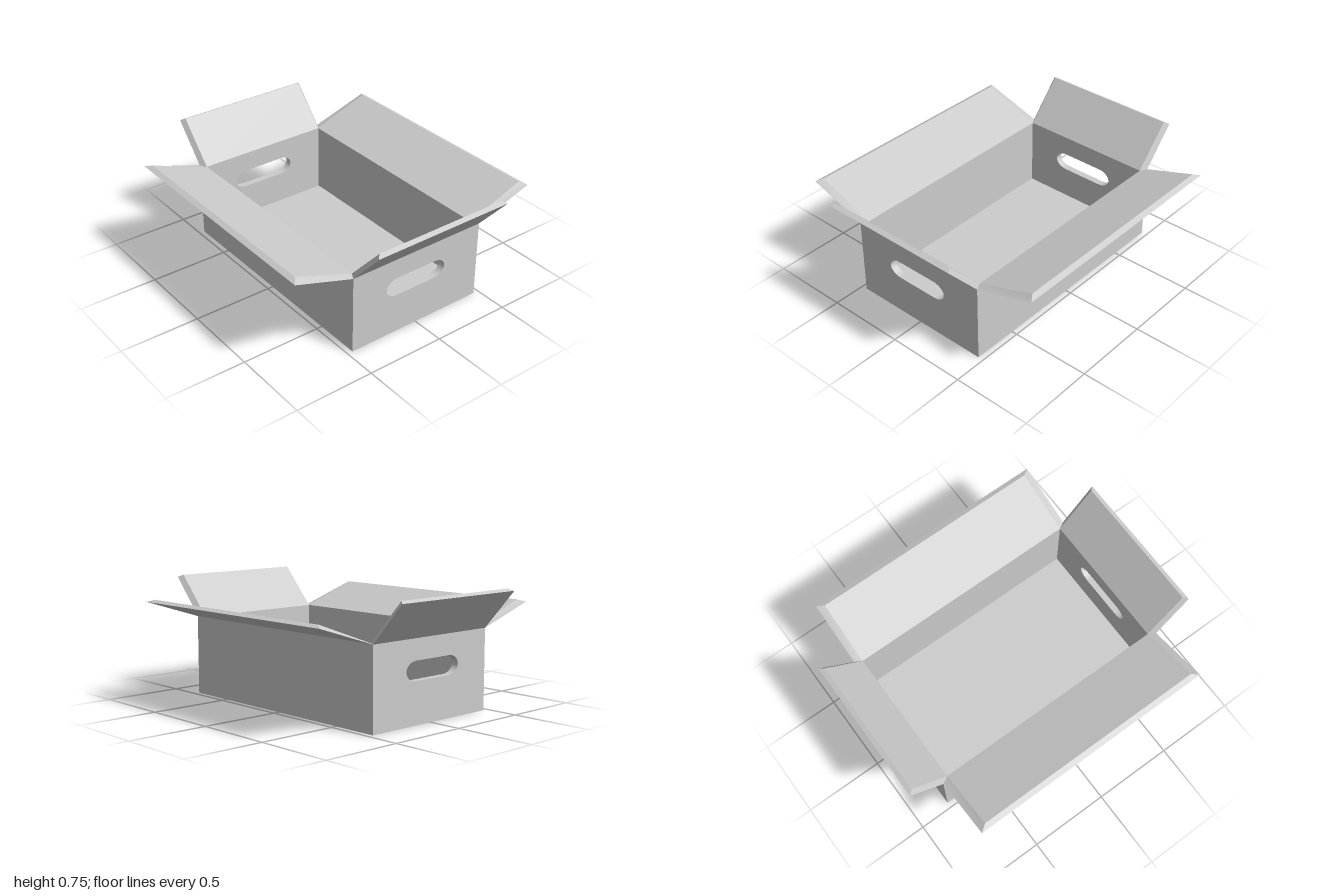
import * as THREE from 'three';

// Outer and inner half sizes of the carton, wall height and floor thickness
const OX = 0.79, IX = 0.745, OZ = 0.465, IZ = 0.44, H = 0.497, FLOOR = 0.05;

// Flap: a slab with mitred edges. Points are [distance outward, height].
function flapGeometry(outerHalf, innerHalf, hingeOut, tipOut, hingeIn, tipIn) {
  const geo = new THREE.BoxGeometry(2, 2, 2);
  const p = geo.attributes.position;
  for (let i = 0; i < p.count; i++) {
    const outer = p.getZ(i) > 0, tip = p.getY(i) > 0;
    const [d, y] = outer ? (tip ? tipOut : hingeOut) : (tip ? tipIn : hingeIn);
    p.setXYZ(i, p.getX(i) * (outer ? outerHalf : innerHalf), y, d);
  }
  geo.computeVertexNormals();
  return geo;
}

// End wall with a rounded grip hole, extruded through the wall thickness
function endWallGeometry() {
  const wall = new THREE.Shape();
  wall.moveTo(-OZ, 0).lineTo(OZ, 0).lineTo(OZ, H).lineTo(-OZ, H).closePath();
  const hole = new THREE.Path();
  const cz = 0.01, cy = 0.312, half = 0.135, rz = 0.08, ry = 0.058;
  hole.absellipse(cz + half, cy, rz, ry, -Math.PI / 2, Math.PI / 2, false, 0);
  hole.absellipse(cz - half, cy, rz, ry, Math.PI / 2, Math.PI * 1.5, false, 0);
  hole.closePath();
  wall.holes.push(hole);
  const geo = new THREE.ExtrudeGeometry(wall, { depth: OX - IX, bevelEnabled: false, curveSegments: 16 });
  return geo.rotateY(-Math.PI / 2);
}

export function createModel() {
  const model = new THREE.Group();
  model.name = 'openCarton';
  const cardboard = new THREE.MeshStandardMaterial({ color: 0xcccccc });
  cardboard.name = 'cardboardGrey';

  const add = (name, geo, x = 0, y = 0, z = 0, turn = 0) => {
    const mesh = new THREE.Mesh(geo, cardboard);
    mesh.name = name;
    mesh.position.set(x, y, z);
    mesh.rotation.y = turn;
    model.add(mesh);
  };

  // Floor and long walls
  add('floor', new THREE.BoxGeometry(IX * 2, FLOOR, IZ * 2), 0, FLOOR / 2, 0);
  const longWall = new THREE.BoxGeometry(IX * 2, H, OZ - IZ);
  add('frontWall', longWall, 0, H / 2, (OZ + IZ) / 2);
  add('backWall', longWall, 0, H / 2, -(OZ + IZ) / 2);

  // End walls with grip holes
  const endWall = endWallGeometry();
  add('leftWall', endWall, OX);
  add('rightWall', endWall, -IX);

  // Long flaps lean far out, end flaps stand steeper
  const longFlap = flapGeometry(OX, IX, [OZ, H], [0.85, 0.62], [IZ, H], [0.817, 0.634]);
  add('frontFlap', longFlap);
  add('backFlap', longFlap, 0, 0, 0, Math.PI);
  const endFlap = flapGeometry(OZ, IZ, [OX, H], [1, 0.733], [IX, H], [0.972, 0.746]);
  add('leftFlap', endFlap, 0, 0, 0, Math.PI / 2);
  add('rightFlap', endFlap, 0, 0, 0, -Math.PI / 2);

  return model;
}
